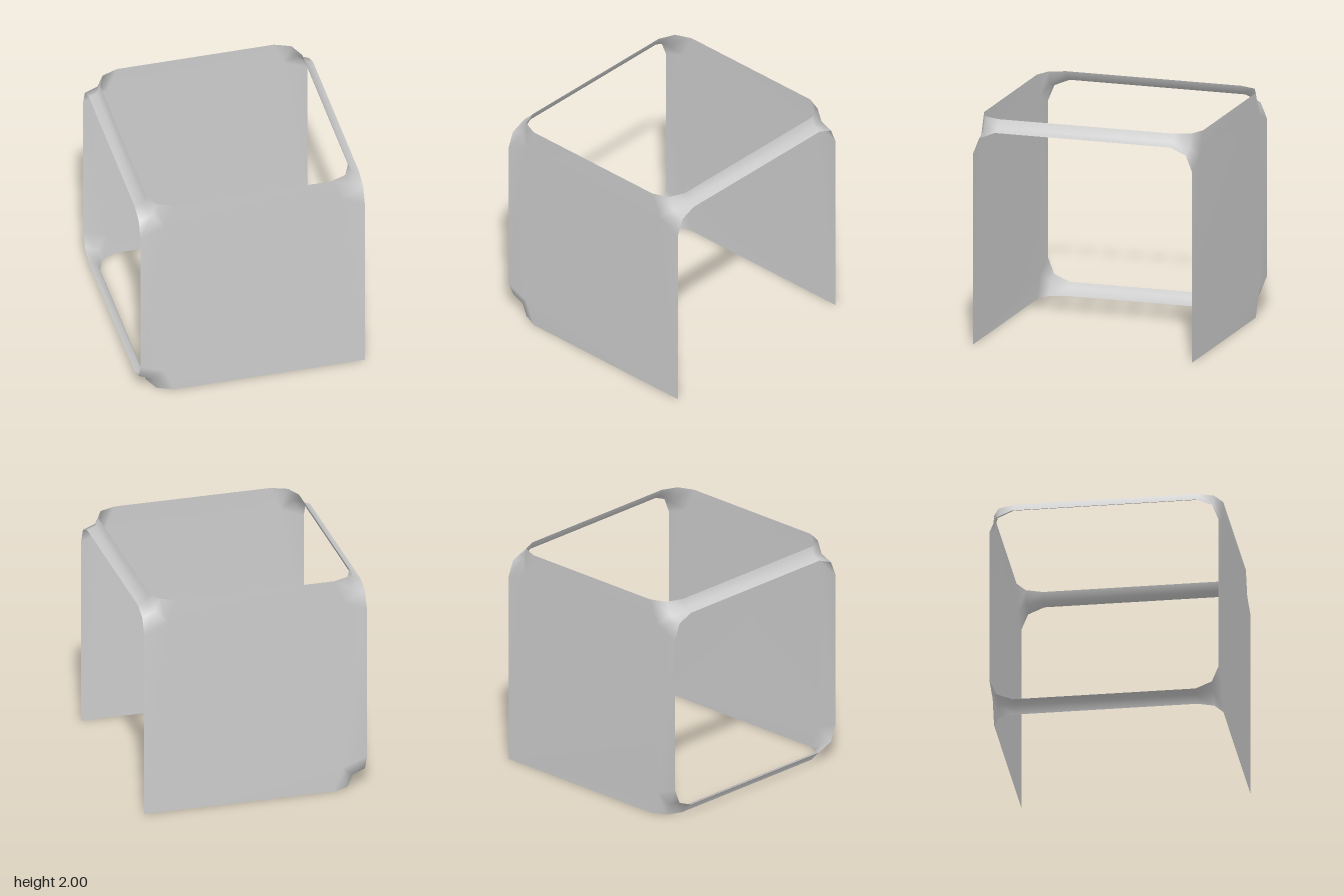
import * as THREE from 'three';

export function createModel() {
  const group = new THREE.Group();
  const positions = [];

  // Corners that carry a concave strip: bottom right, top right, top left
  const corners = [[-1, -1], [-1, 1], [1, 1]];
  // Strip rings from front to back: [z, radius], flaring into the panels
  const d = 0.2 * Math.SQRT1_2;
  const half = [[1, 0.3], [0.8 + d, 0.3 - d], [0.8, 0.1]];
  const rings = [...half, ...half.map(([z, r]) => [-z, r]).reverse()];

  for (const [sx, sy] of corners) {
    for (const [z, r] of rings) {
      for (let j = 0; j < 3; j++) {
        const a = (j * Math.PI) / 4;
        positions.push(sx * (1 - r * Math.cos(a)), 1 + sy * (1 - r * Math.sin(a)), z);
      }
    }
  }
  // The square corner of each panel
  positions.push(1, 0, 1, 1, 0, -1);
  const id = (c, i, j) => c * 18 + i * 3 + j;

  const addPoly = (index, pts, flip) => {
    const p = flip ? [...pts].reverse() : pts;
    for (let k = 1; k < p.length - 1; k++) index.push(p[0], p[k], p[k + 1]);
  };

  // Concave edge strips joining front and back
  const strips = corners.map(([sx, sy], c) => {
    const index = [];
    for (let i = 0; i < 5; i++) {
      for (let j = 0; j < 2; j++) {
        addPoly(index, [id(c, i, j), id(c, i, j + 1), id(c, i + 1, j + 1), id(c, i + 1, j)], sx * sy < 0);
      }
    }
    return index;
  });

  // Flat panels: edge bands around a central field
  const panel = (row, square, flip) => {
    const index = [];
    const [C, B, A] = [0, 1, 2].map((j) => id(0, row, j));
    const [F, E, D] = [0, 1, 2].map((j) => id(1, row, j));
    const [G, H, I] = [0, 1, 2].map((j) => id(2, row, j));
    const polys = [[A, B, E, D], [E, H, G, F], [B, square, H, E], [B, C, square], [square, I, H]];
    polys.forEach((p) => {
      addPoly(index, p, flip);
    });
    return index;
  };

  const parts = {
    frontPanel: panel(0, 54, false),
    backPanel: panel(5, 55, true),
    bottomRightStrip: strips[0],
    topRightStrip: strips[1],
    topLeftStrip: strips[2],
  };

  // Normals are smoothed over the whole shell, then shared by its parts
  const shell = new THREE.BufferGeometry();
  shell.setAttribute('position', new THREE.Float32BufferAttribute(positions, 3));
  shell.setIndex(Object.values(parts).flat());
  shell.computeVertexNormals();

  const material = new THREE.MeshStandardMaterial({ color: 0xcccccc, side: THREE.DoubleSide });
  for (const [name, index] of Object.entries(parts)) {
    const geometry = shell.clone();
    geometry.setIndex(index);
    const mesh = new THREE.Mesh(geometry, material);
    mesh.name = name;
    group.add(mesh);
  }
  return group;
}
